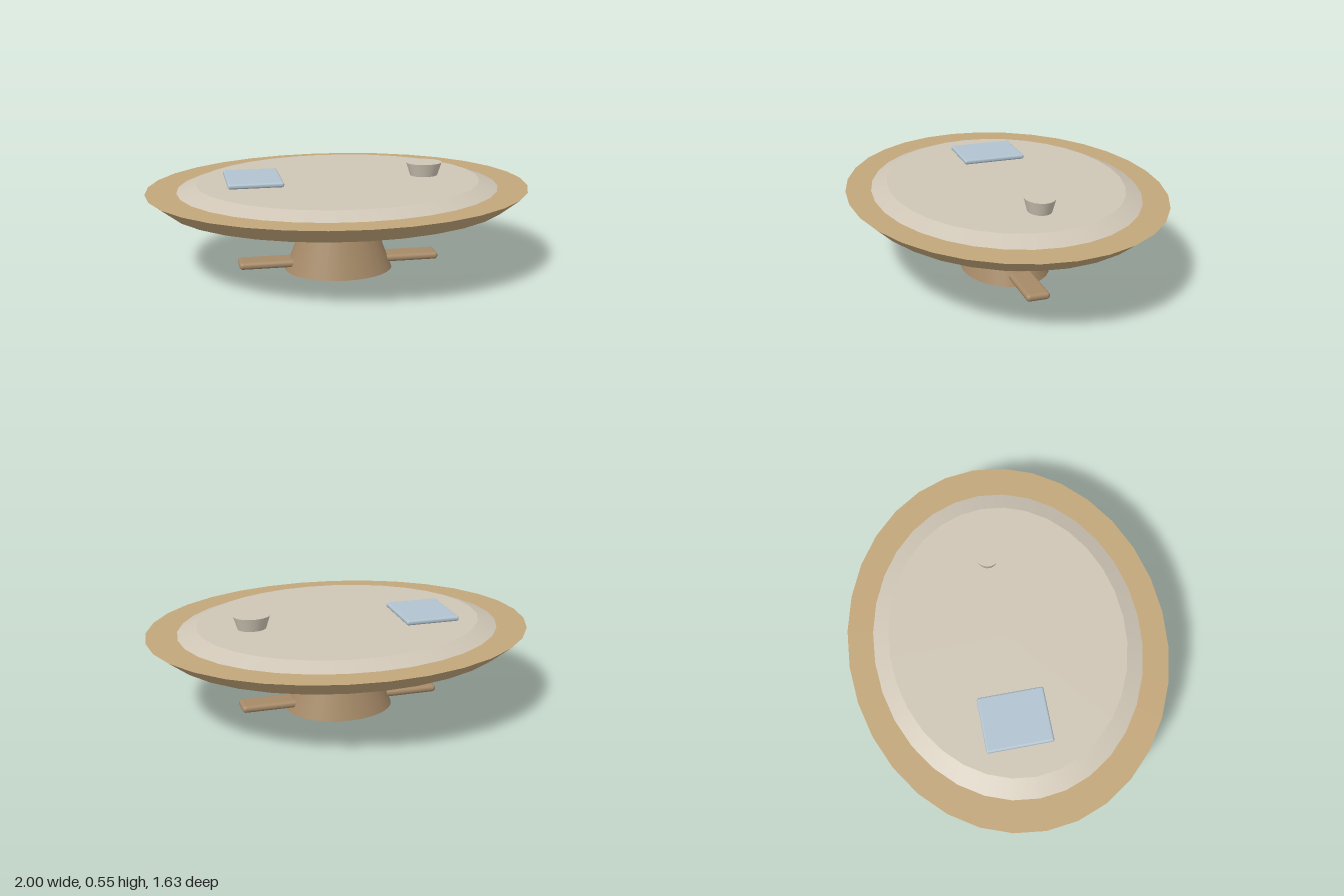
import * as THREE from 'three';
import { RoundedBoxGeometry } from 'three/addons/geometries/RoundedBoxGeometry.js';

const paint = (name, color) => {
  const m = new THREE.MeshStandardMaterial({ color });
  m.name = name;
  return m;
};

export function createModel() {
  const wood = paint('light wood', 0xc2a67a);
  const darkWood = paint('brown wood', 0xa68a68);
  const stone = paint('pale stone', 0xcec5b5);
  const blue = paint('pale blue', 0xb1c3d0);

  const group = new THREE.Group();
  const DEPTH = 0.815; // every round part is an ellipse, narrower in z

  const add = (name, geometry, material, x, y, z) => {
    const mesh = new THREE.Mesh(geometry, material);
    mesh.name = name;
    mesh.position.set(x, y, z);
    group.add(mesh);
    return mesh;
  };

  // Tapered elliptical drum standing between two heights
  const drum = (name, material, rTop, rBottom, y0, y1, x = 0, z = 0) => {
    const geometry = new THREE.CylinderGeometry(rTop, rBottom, y1 - y0, 32);
    geometry.scale(1, 1, DEPTH);
    return add(name, geometry, material, x, (y0 + y1) / 2, z);
  };

  // Pedestal, table top and raised centre
  drum('pedestal', darkWood, 0.145, 0.285, 0, 0.363);
  drum('tableTop', wood, 1.0, 0.895, 0.363, 0.443);
  drum('raisedCentre', stone, 0.74, 0.84, 0.443, 0.48);

  // Cup and tablet resting on the table
  drum('cup', stone, 0.095, 0.073, 0.48, 0.549, 0.465, -0.022);
  add('tablet', new RoundedBoxGeometry(0.285, 0.026, 0.338, 3, 0.011), blue, -0.443, 0.493, -0.046);

  // Foot bars on both sides of the pedestal
  for (const side of [-1, 1]) {
    add(side > 0 ? 'leftFootBar' : 'rightFootBar',
      new RoundedBoxGeometry(0.33, 0.038, 0.124, 4, 0.018), darkWood, side * 0.368, 0.048, 0);
  }
  return group;
}
